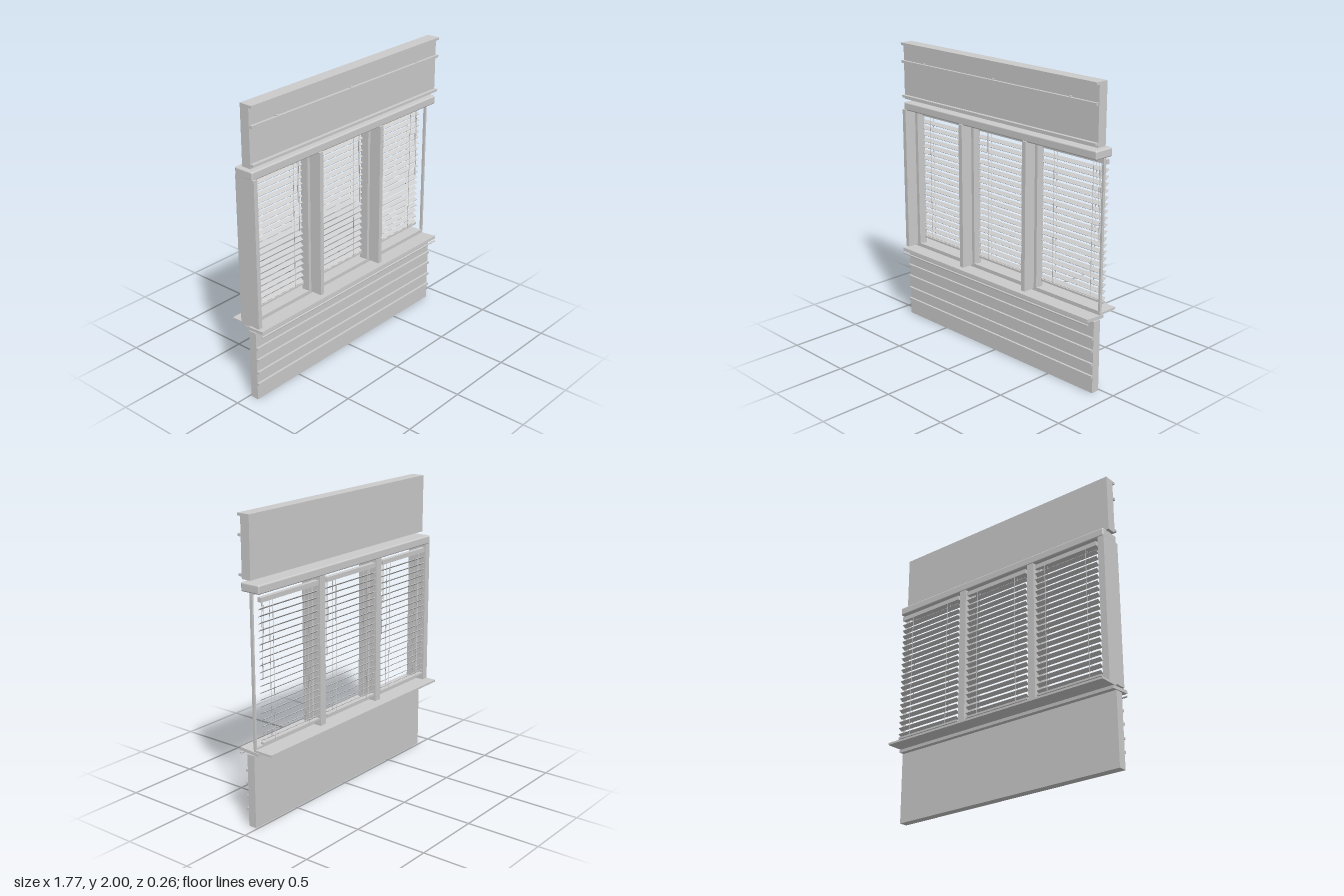
import * as THREE from 'three';
import { RoundedBoxGeometry } from 'three/addons/geometries/RoundedBoxGeometry.js';

const grey = new THREE.MeshStandardMaterial({ color: 0xcccccc });
grey.name = 'plain grey';

const HALF = 0.885; // half the wall width

function add(parent, name, geometry) {
  const mesh = new THREE.Mesh(geometry, grey);
  mesh.name = name;
  parent.add(mesh);
  return mesh;
}

// Box given by its extents on each axis
function block(parent, name, x0, x1, y0, y1, z0, z1) {
  const mesh = add(parent, name, new THREE.BoxGeometry(x1 - x0, y1 - y0, z1 - z0));
  mesh.position.set((x0 + x1) / 2, (y0 + y1) / 2, (z0 + z1) / 2);
  return mesh;
}

// Round bar along x over the whole wall width
function bar(parent, name, y, z, radius) {
  const mesh = add(parent, name, new THREE.CylinderGeometry(radius, radius, HALF * 2, 12));
  mesh.rotation.z = Math.PI / 2;
  mesh.position.set(0, y, z);
  return mesh;
}

// Vertical round cord
function cord(parent, name, x, z, y0, y1, radius) {
  const mesh = add(parent, name, new THREE.CylinderGeometry(radius, radius, y1 - y0, 6));
  mesh.position.set(x, (y0 + y1) / 2, z);
  return mesh;
}

function group(parent, name) {
  const g = new THREE.Group();
  g.name = name;
  parent.add(g);
  return g;
}

// Upper wall panel with lips, rail and rail brackets
function buildUpperWall(parent) {
  const g = group(parent, 'upperWall');
  block(g, 'upperPanel', -HALF, HALF, 1.605, 2, 0.008, 0.076);
  block(g, 'topLip', -HALF, HALF, 1.983, 2, 0.07, 0.1);
  block(g, 'bottomLip', -HALF, HALF, 1.62, 1.636, 0.07, 0.1);
  block(g, 'rail', -HALF, HALF, 1.861, 1.878, 0.082, 0.1);
  for (const x of [-0.665, 0, 0.665]) {
    block(g, 'railBracket', x - 0.008, x + 0.008, 1.855, 1.884, 0.07, 0.09);
  }
}

// Lower wall panel with horizontal strips
function buildLowerWall(parent) {
  const g = group(parent, 'lowerWall');
  block(g, 'lowerPanel', -HALF, HALF, 0, 0.49, 0.012, 0.07);
  for (const y of [0.377, 0.292, 0.2, 0.115]) {
    block(g, 'wallStrip', -HALF, HALF, y - 0.008, y + 0.008, 0.065, 0.085);
  }
}

// Header, inner sill, tilted outer sill and its drip bar
function buildHeaderAndSills(parent) {
  const header = add(parent, 'header', new RoundedBoxGeometry(HALF * 2, 0.058, 0.146, 3, 0.01));
  header.position.set(0, 1.557, 0.015);
  block(parent, 'innerSill', -HALF, HALF, 0.517, 0.531, -0.13, 0.015);
  const sill = block(parent, 'outerSill', -HALF, HALF, 0.497, 0.518, -0.018, 0.13);
  sill.rotation.x = -0.07;
  bar(parent, 'dripBar', 0.483, 0.126, 0.006);
}

// Stepped post: wide inner body with a narrower outer fin
function buildPost(parent, name, x0, x1, fin0, fin1) {
  const g = group(parent, name);
  block(g, 'postBody', x0, x1, 0.53, 1.535, -0.055, 0.015);
  block(g, 'postFin', fin0, fin1, 0.53, 1.535, 0.015, 0.1);
}

// Thin frame around one window opening
function buildFrame(parent, x0, x1) {
  const g = group(parent, 'windowFrame');
  const w = 0.014, y0 = 0.53, y1 = 1.53;
  block(g, 'frameSide', x0, x0 + w, y0, y1, 0, 0.018);
  block(g, 'frameSide', x1 - w, x1, y0, y1, 0, 0.018);
  block(g, 'frameBottom', x0 + w, x1 - w, y0, y0 + w, 0, 0.018);
  block(g, 'frameTop', x0 + w, x1 - w, y1 - w, y1, 0, 0.018);
}

// Blind with rails, tilted slats, ladder cords and a hanging wand
function buildBlind(parent, cx, width) {
  const g = group(parent, 'blind');
  const z = -0.042, x0 = cx - width / 2, x1 = cx + width / 2;
  block(g, 'headRail', x0, x1, 1.478, 1.508, z - 0.014, z + 0.014);
  block(g, 'bottomRail', x0, x1, 0.576, 0.589, z - 0.013, z + 0.013);
  const slat = new THREE.BoxGeometry(width, 0.003, 0.031);
  for (let i = 0; i < 20; i++) {
    const mesh = add(g, 'slat', slat);
    mesh.position.set(cx, 1.437 - i * 0.0438, z);
    mesh.rotation.x = 0.6; // front edge lower
  }
  for (const side of [-1, 1]) {
    for (const dz of [-0.014, 0.014]) {
      cord(g, 'ladderCord', cx + side * 0.163, z + dz, 0.585, 1.48, 0.002);
    }
  }
  const wandX = x1 - 0.038;
  cord(g, 'wandCord', wandX, -0.024, 0.98, 1.48, 0.002);
  cord(g, 'wandHandle', wandX, -0.022, 0.98, 1.09, 0.003);
  cord(g, 'pullCord', wandX - 0.012, -0.024, 1.2, 1.48, 0.002);
}

export function createModel() {
  const model = new THREE.Group();
  model.name = 'windowWall';

  buildUpperWall(model);
  buildLowerWall(model);
  buildHeaderAndSills(model);

  buildPost(model, 'endPost', -HALF, -0.838, -HALF, -0.855);
  for (const x of [-0.295, 0.295]) {
    buildPost(model, 'mullion', x - 0.027, x + 0.027, x - 0.016, x + 0.016);
  }

  // The three windows: frame extents, then blind centre and width
  const windows = [
    [-0.84, -0.322, -0.58, 0.49],
    [-0.268, 0.268, 0, 0.51],
    [0.322, HALF, 0.6, 0.53],
  ];
  for (const [x0, x1, cx, width] of windows) {
    buildFrame(model, x0, x1);
    buildBlind(model, cx, width);
  }
  return model;
}
